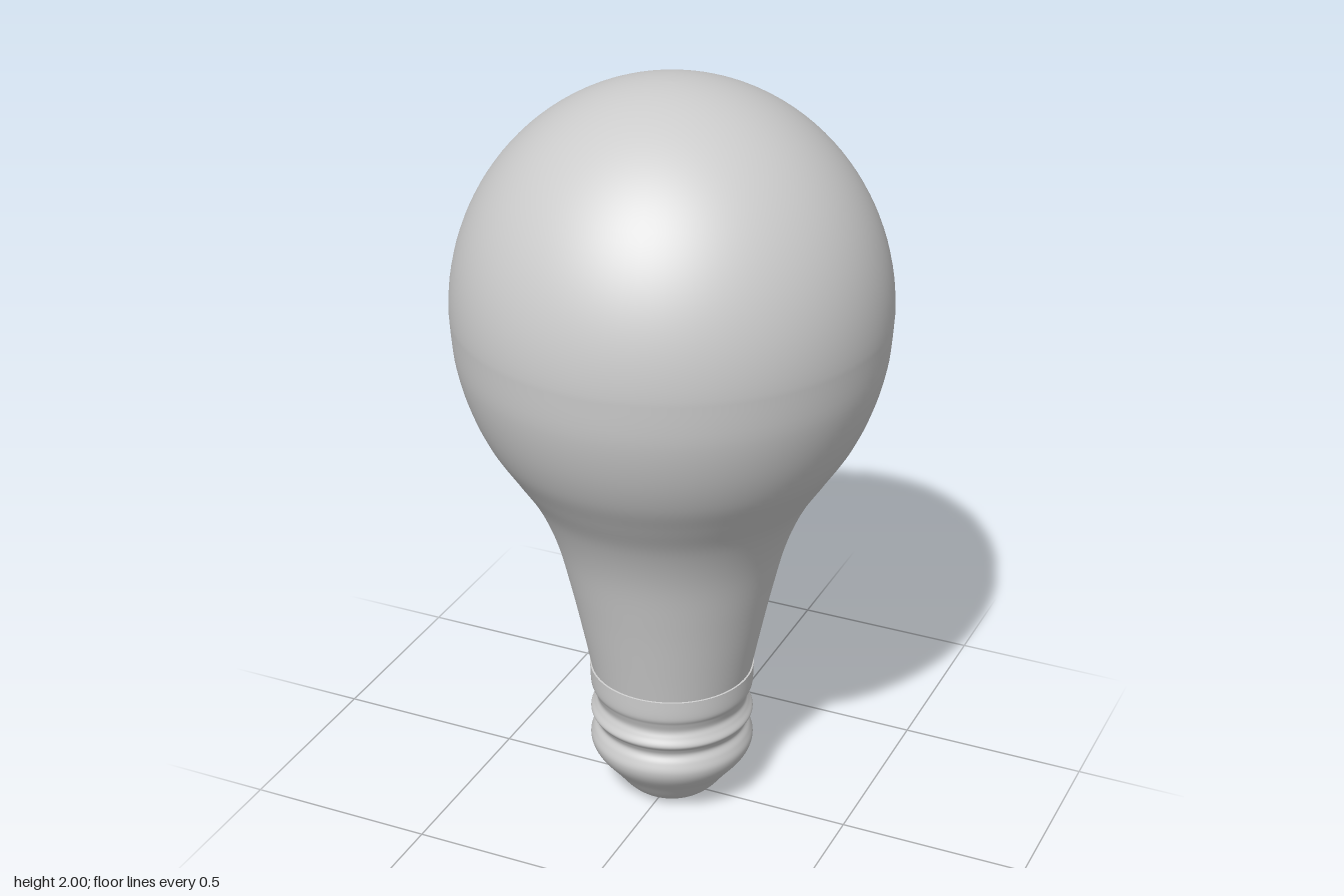
import * as THREE from 'three';

const SEGMENTS = 96;

// Smooth profile through a few [radius, height] points
function smooth(points, divisions) {
  return new THREE.SplineCurve(points.map(([r, y]) => new THREE.Vector2(r, y))).getPoints(divisions);
}

function turned(name, profile, material) {
  const mesh = new THREE.Mesh(new THREE.LatheGeometry(profile, SEGMENTS), material);
  mesh.name = name;
  return mesh;
}

export function createModel() {
  const group = new THREE.Group();
  group.name = 'lightBulb';
  const grey = new THREE.MeshStandardMaterial({ color: 0xcccccc });
  grey.name = 'light grey';

  // Bulb: flared neck sweeping into a slightly tall dome
  const neck = smooth([
    [0.212, 0.38], [0.232, 0.48], [0.264, 0.63], [0.302, 0.78], [0.352, 0.9],
    [0.415, 1.0], [0.472, 1.09], [0.515, 1.19], [0.543, 1.3], [0.553, 1.42],
  ], 48);
  const dome = [];
  for (let i = 1; i <= 32; i++) {
    const a = (i / 32) * Math.PI / 2;
    dome.push(new THREE.Vector2(i === 32 ? 0 : 0.553 * Math.cos(a), 1.42 + 0.58 * Math.sin(a)));
  }
  group.add(turned('glassBulb', [...neck, ...dome], grey));

  // Screw base: rounded foot, lower bulge, thread ridge and collar
  const base = smooth([
    [0, 0], [0.05, 0.001], [0.09, 0.006], [0.125, 0.03], [0.165, 0.08], [0.205, 0.13],
    [0.218, 0.165], [0.211, 0.193], [0.2, 0.214], [0.206, 0.232], [0.217, 0.25],
    [0.207, 0.27], [0.2, 0.288], [0.207, 0.312], [0.216, 0.335], [0.218, 0.388],
  ], 90);
  group.add(turned('screwBase', base, grey));

  // Lip closing the collar against the neck
  const lip = [new THREE.Vector2(0.218, 0.388), new THREE.Vector2(0.205, 0.39)];
  group.add(turned('collarLip', lip, grey));

  return group;
}
